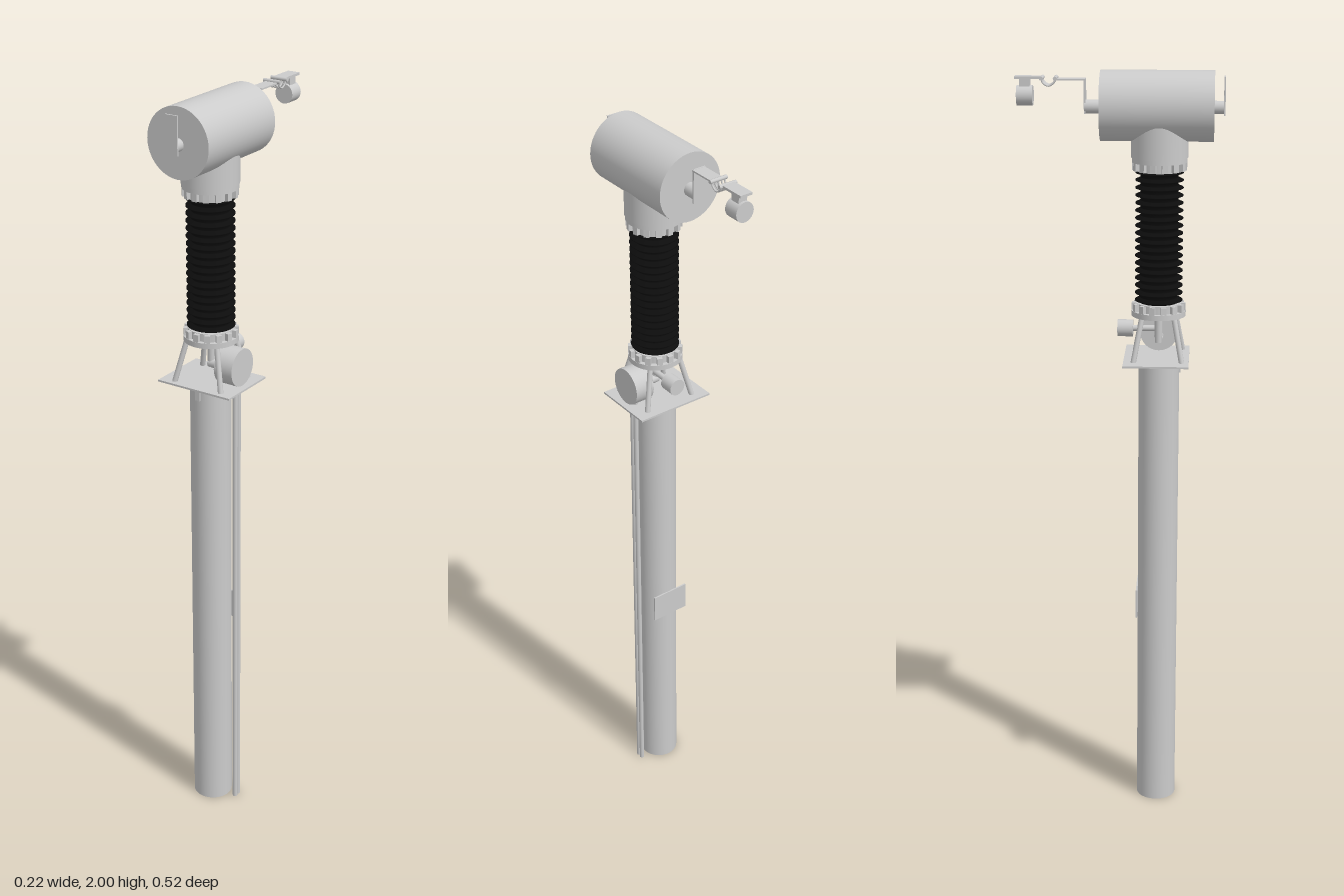
import * as THREE from 'three';

const Z = 0.1; // column axis
const grey = new THREE.MeshStandardMaterial({ color: 0xcccccc, side: THREE.DoubleSide });
const black = new THREE.MeshStandardMaterial({ color: 0x0c0c0c, side: THREE.DoubleSide });

export function createModel() {
  const root = new THREE.Group();

  const add = (name, geo, x, y, z, mat = grey) => {
    const m = new THREE.Mesh(geo, mat);
    m.name = name;
    m.position.set(x, y, z);
    root.add(m);
    return m;
  };
  const box = (name, w, h, d, x, y, z) => add(name, new THREE.BoxGeometry(w, h, d), x, y, z);
  const cyl = (name, r, len, x, y, z, axis = 'y', seg = 32) => {
    const g = new THREE.CylinderGeometry(r, r, len, seg);
    if (axis === 'x') g.rotateZ(-Math.PI / 2);
    if (axis === 'z') g.rotateX(Math.PI / 2);
    return add(name, g, x, y, z);
  };
  const rod = (name, a, b, r) => {
    const p = new THREE.Vector3(...a), q = new THREE.Vector3(...b);
    const m = cyl(name, r, p.distanceTo(q), ...p.clone().lerp(q, 0.5).toArray(), 'y', 12);
    m.quaternion.setFromUnitVectors(new THREE.Vector3(0, 1, 0), q.sub(p).normalize());
    return m;
  };

  // Support pole, sign plate, front tab and conduits
  cyl('pole', 0.053, 1.27, -0.001, 0.635, Z + 0.002, 'y', 40);
  box('signPlate', 0.106, 0.08, 0.004, -0.005, 0.595, 0.048);
  box('poleTab', 0.014, 0.035, 0.01, -0.004, 1.25, 0.153);
  for (const z of [0.087, 0.101]) cyl('conduit', 0.0065, 1.3, 0.073, 0.65, z, 'y', 12);

  // Base plate with four splayed legs
  box('basePlate', 0.216, 0.005, 0.168, -0.001, 1.271, 0.096);
  for (const sx of [-1, 1]) for (const sz of [-1, 1])
    rod('leg', [sx * 0.07, 1.272, Z + sz * 0.062], [sx * 0.044, 1.39, Z + sz * 0.04], 0.007);

  // Drive housing on the side, its shaft and the rear gauge
  cyl('driveHousing', 0.049, 0.053, 0.067, 1.326, Z, 'x');
  cyl('driveShaft', 0.012, 0.05, 0.02, 1.318, Z, 'x', 16);
  cyl('driveRod', 0.01, 0.08, 0.0, 1.35, Z, 'y', 16);
  cyl('rearGauge', 0.022, 0.04, 0.008, 1.345, 0.014, 'z', 24);
  rod('gaugeArm', [0.008, 1.345, 0.03], [0.008, 1.345, Z], 0.008);

  // Flanged collars with radial ribs
  const collar = (name, yDisc, yHub, hubHeight) => {
    cyl(name + 'Disc', 0.07, 0.014, 0, yDisc, Z, 'y', 40);
    cyl(name + 'Hub', 0.059, hubHeight, 0, yHub, Z, 'y', 40);
    for (let i = 0; i < 14; i++) {
      const a = (i / 14) * Math.PI * 2;
      const rib = box(name + 'Rib', 0.014, 0.032, 0.012,
        Math.sin(a) * 0.063, yHub, Z + Math.cos(a) * 0.063);
      rib.rotation.y = a;
    }
  };
  collar('lowerCollar', 1.39, 1.4, 0.034);
  collar('upperCollar', 1.783, 1.772, 0.036);

  // Ribbed insulator
  const sheds = 18, y0 = 1.412, step = (1.758 - y0) / sheds;
  const profile = [new THREE.Vector2(0, y0)];
  for (let i = 0; i < sheds; i++) {
    const y = y0 + i * step;
    profile.push(new THREE.Vector2(0.048, y), new THREE.Vector2(0.048, y + step * 0.45),
      new THREE.Vector2(0.061, y + step * 0.55), new THREE.Vector2(0.061, y + step * 0.65),
      new THREE.Vector2(0.048, y + step * 0.95));
  }
  profile.push(new THREE.Vector2(0, 1.758));
  add('insulator', new THREE.LatheGeometry(profile, 36), 0, 0, Z, black);

  // Neck and horizontal tank
  cyl('neck', 0.072, 0.11, 0, 1.843, Z, 'y', 40);
  cyl('tank', 0.087, 0.283, 0.002, 1.914, 0.0935, 'z', 48);

  // Front terminal: stub and upright pad
  cyl('frontStub', 0.016, 0.027, 0.003, 1.911, 0.247, 'z', 20);
  box('frontPad', 0.034, 0.095, 0.004, 0.003, 1.939, 0.26);

  // Rear terminal: stub, upright pad and bus strip
  cyl('rearStub', 0.017, 0.042, 0.003, 1.911, -0.067, 'z', 20);
  box('rearPad', 0.034, 0.085, 0.004, 0.006, 1.937, -0.087);
  box('busStrip', 0.034, 0.004, 0.078, 0.008, 1.977, -0.124);

  // Flexible link: two cross bars joined by hanging loops
  for (const z of [-0.16, -0.194]) cyl('crossBar', 0.005, 0.048, 0.008, 1.98, z, 'x', 12);
  for (let i = 0; i < 5; i++) {
    const x = -0.01 + i * 0.009;
    const curve = new THREE.CatmullRomCurve3([
      [-0.16, 1.98], [-0.163, 1.97], [-0.177, 1.962], [-0.191, 1.97], [-0.194, 1.98],
    ].map(([z, y]) => new THREE.Vector3(x, y, z)));
    add('flexibleLoop', new THREE.TubeGeometry(curve, 16, 0.0022, 8), 0, 0, 0);
  }

  // End plate with hanging drum
  box('endPlate', 0.034, 0.006, 0.068, 0.008, 1.981, -0.228);
  box('drumBracket', 0.024, 0.03, 0.026, 0.008, 1.966, -0.237);
  cyl('drum', 0.025, 0.04, 0.007, 1.937, -0.237, 'z', 28);

  return root;
}
